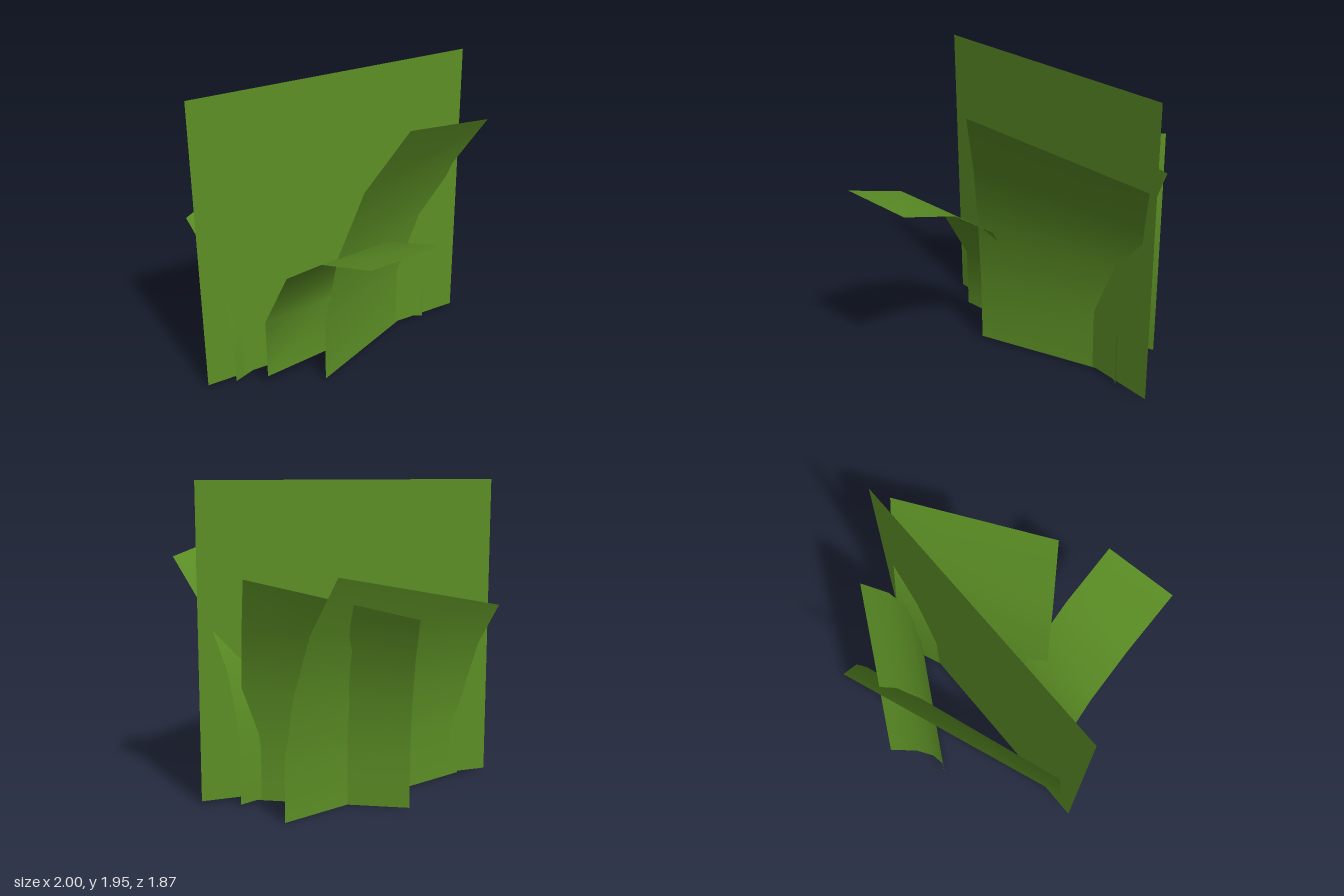
import * as THREE from 'three';

const green = new THREE.MeshStandardMaterial({ color: 0x5c8f25, side: THREE.DoubleSide });
green.name = 'leafGreen';

// How far each of the five rows has risen and leaned, from base to tip
const CURVE = {
  lean: [0, 0, 0.17, 0.49, 1],
  riseTall: [0, 0.24, 0.51, 0.77, 1],
  riseShort: [0, 0.28, 0.54, 0.778, 1],
};
const DROOP = {
  lean: [0, 0, 0.245, 0.58, 1],
  riseTall: [0, 0.34, 0.69, 0.885, 1],
  riseShort: [0, 0.34, 0.69, 0.885, 1],
};
const STRAIGHT = {
  lean: [0, 0.25, 0.5, 0.75, 1],
  riseTall: [0, 0.25, 0.5, 0.75, 1],
  riseShort: [0, 0.25, 0.5, 0.75, 1],
};

// A blade is a strip between two bent edges, each given as [base, tip];
// the first edge is the taller one
function blade(name, curve, tallEdge, shortEdge) {
  const geometry = new THREE.PlaneGeometry(1, 1, 1, 4);
  const position = geometry.attributes.position;
  const { lerp } = THREE.MathUtils;
  for (let i = 0; i < position.count; i++) {
    const row = 4 - Math.floor(i / 2);
    const tall = i % 2 === 0;
    const [base, tip] = tall ? tallEdge : shortEdge;
    const lean = curve.lean[row];
    const rise = (tall ? curve.riseTall : curve.riseShort)[row];
    position.setXYZ(i,
      lerp(base[0], tip[0], lean),
      lerp(base[1], tip[1], rise),
      lerp(base[2], tip[2], lean));
  }
  geometry.computeVertexNormals();
  const mesh = new THREE.Mesh(geometry, green);
  mesh.name = name;
  return mesh;
}

export function createModel() {
  const group = new THREE.Group();
  group.name = 'grassClump';
  group.add(
    // Tall upright blade in the middle
    blade('uprightBlade', STRAIGHT,
      [[-1, 0.02, -0.28], [-1, 1.95, -0.28]],
      [[0.92, 0.02, -0.04], [0.92, 1.95, -0.04]]),
    // Wide blade leaning forward
    blade('frontBlade', CURVE,
      [[-0.36, 0.015, 0.13], [-0.03, 1.78, 0.525]],
      [[0.72, 0.01, -0.18], [1.0, 1.5, 0.145]]),
    // Narrow blade drooping forward
    blade('droopingBlade', DROOP,
      [[-0.69, 0.08, -0.05], [-0.65, 1.28, 0.935]],
      [[-0.19, 0.08, -0.05], [-0.15, 1.255, 0.92]]),
    // Two crossing blades leaning back
    blade('backWideBlade', CURVE,
      [[0.6, 0, -0.555], [0.4, 1.44, -0.835]],
      [[-0.82, 0, -0.23], [-0.97, 1.155, -0.44]]),
    blade('backCrossBlade', CURVE,
      [[0.665, 0, -0.065], [0.76, 1.4, -0.36]],
      [[-0.17, 0, -0.67], [-0.06, 1.19, -0.935]]),
  );
  return group;
}
